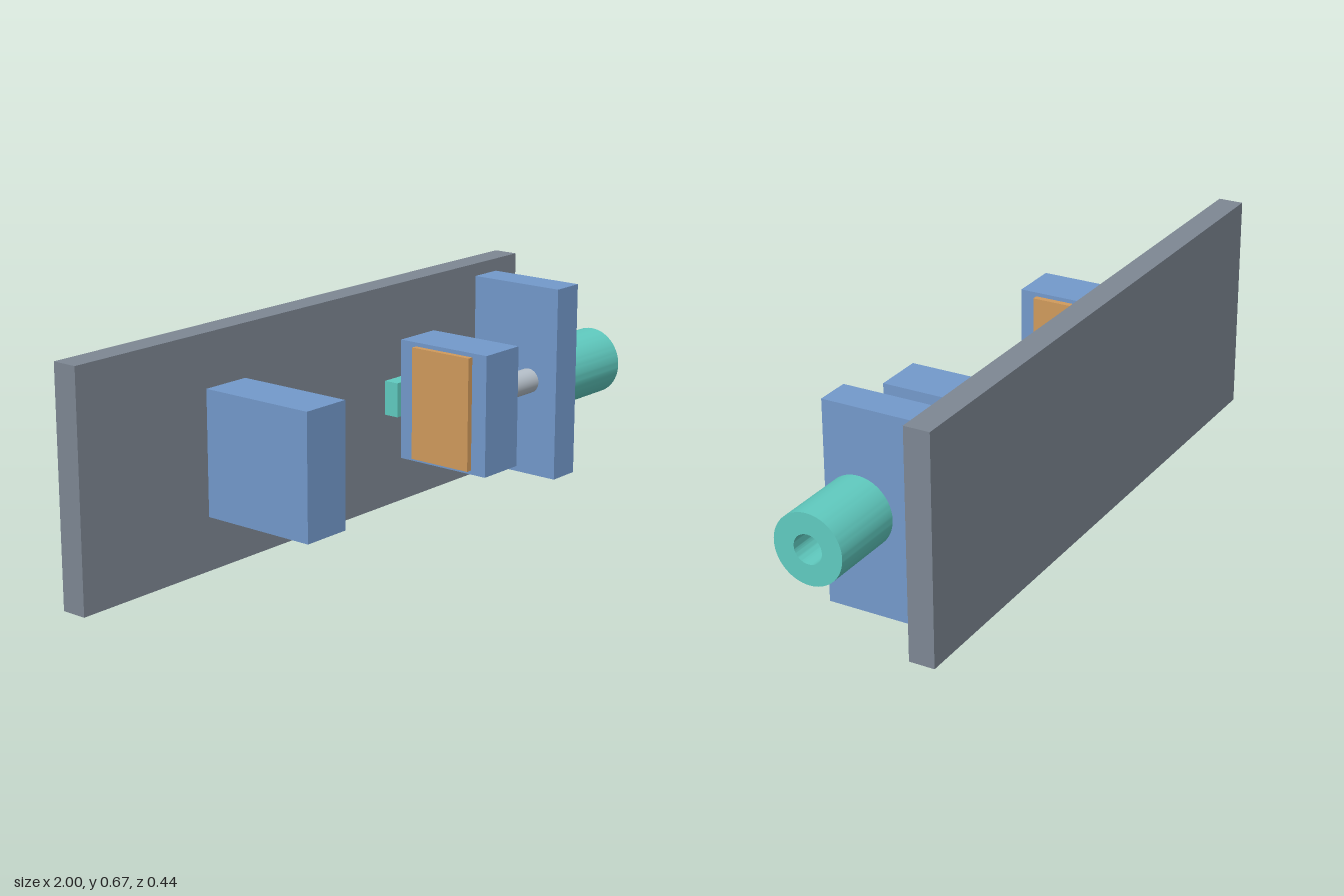
import * as THREE from 'three';
import { toCreasedNormals } from 'three/addons/utils/BufferGeometryUtils.js';

const material = (name, color) => Object.assign(new THREE.MeshStandardMaterial({ color }), { name });

export function createModel() {
  const group = new THREE.Group();
  group.name = 'clampFixture';
  const grey = material('slate grey', 0x7d8793);
  const blue = material('steel blue', 0x7399cb);
  const orange = material('pad orange', 0xd09a5c);
  const teal = material('teal', 0x60cbc0);
  const silver = material('silver', 0xb6c0ca);

  const add = (name, geometry, mat) => {
    const mesh = new THREE.Mesh(geometry, mat);
    mesh.name = name;
    group.add(mesh);
    return mesh;
  };
  // Box given by its limits on each axis
  const box = (name, mat, [x0, x1], [y0, y1], [z0, z1]) =>
    add(name, new THREE.BoxGeometry(x1 - x0, y1 - y0, z1 - z0), mat)
      .position.set((x0 + x1) / 2, (y0 + y1) / 2, (z0 + z1) / 2);

  const plateFace = -0.142, axisY = 0.337, axisZ = 0.065;

  // Back plate and the guide rail on it
  box('backPlate', grey, [-1, 0.868], [0, 0.674], [-0.219, plateFace]);
  box('guideRail', teal, [0.225, 0.637], [0.285, 0.389], [plateFace, -0.095]);

  // Fixed and sliding jaws with their facing pads
  const jawY = [0.156, 0.519], padY = [0.168, 0.507], padZ = [-0.039, 0.168];
  box('fixedJaw', blue, [-0.53, -0.377], jawY, [plateFace, 0.219]);
  box('fixedPad', orange, [-0.377, -0.358], padY, padZ);
  box('slidingJaw', blue, [0.242, 0.396], jawY, [-0.095, 0.219]);
  box('slidingPad', orange, [0.224, 0.242], padY, padZ);

  // Upright support for the actuator
  box('support', blue, [0.662, 0.765], [0.04, 0.635], [plateFace, 0.168]);

  // Push rod
  const rod = add('pushRod', new THREE.CylinderGeometry(0.038, 0.038, 0.379, 48), silver);
  rod.rotation.z = Math.PI / 2;
  rod.position.set(0.5855, axisY, axisZ);

  // Hollow cylinder body along x
  const ring = new THREE.Shape().absarc(0, 0, 0.103, 0, Math.PI * 2);
  ring.holes.push(new THREE.Path().absarc(0, 0, 0.0425, 0, Math.PI * 2, true));
  const tube = new THREE.ExtrudeGeometry(ring, { depth: 0.235, bevelEnabled: false, curveSegments: 48 });
  const body = add('cylinderBody', toCreasedNormals(tube, 0.6), teal);
  body.rotation.y = Math.PI / 2;
  body.position.set(0.765, axisY, axisZ);

  return group;
}
